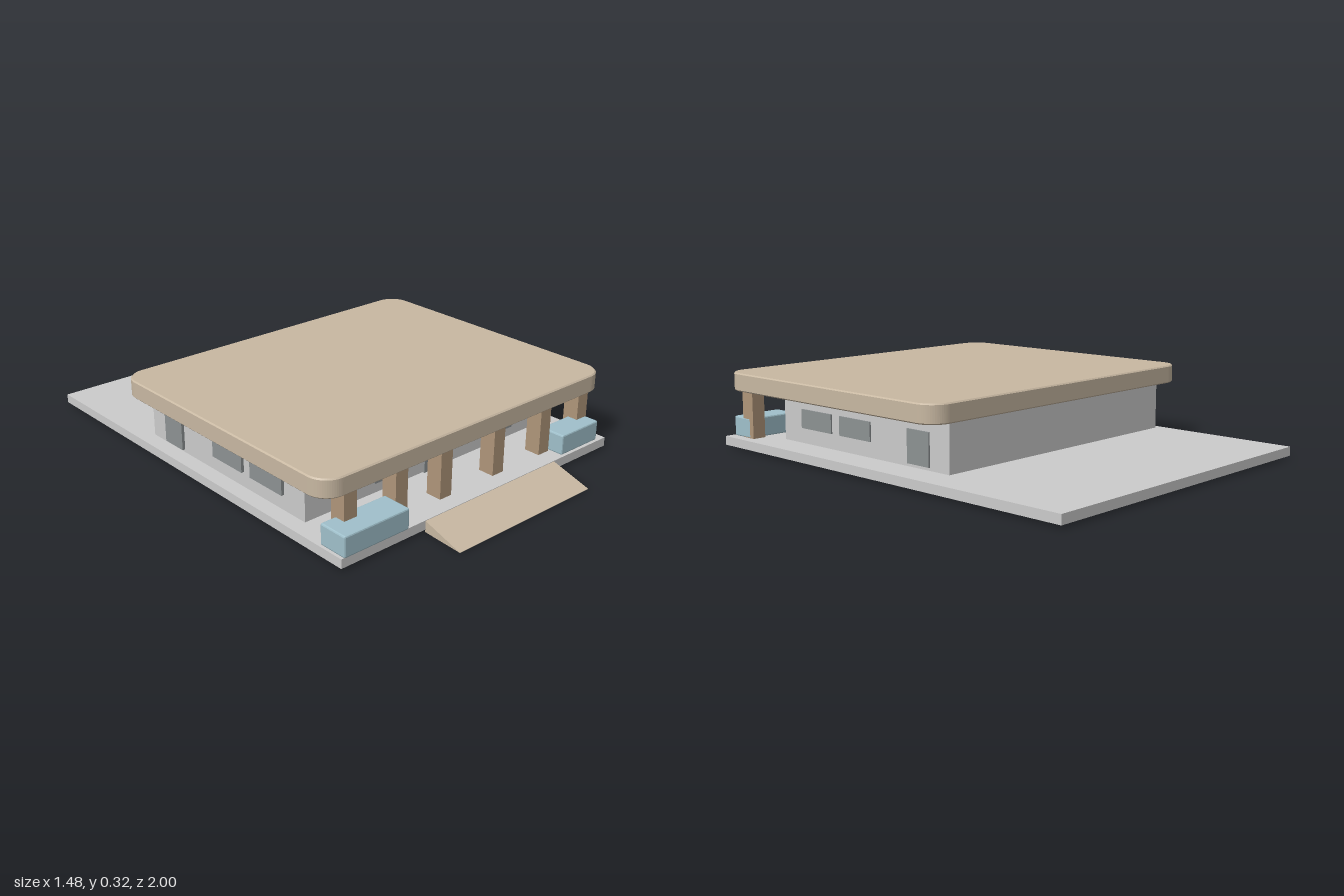
import * as THREE from 'three';
import { RoundedBoxGeometry } from 'three/addons/geometries/RoundedBoxGeometry.js';

const mat = (color) => new THREE.MeshStandardMaterial({ color, flatShading: true });

export function createModel() {
  const model = new THREE.Group();
  const grey = mat(0xcccccc);
  const glass = mat(0x8d9293);
  const wood = mat(0xb0967a);
  const tan = mat(0xc8b8a2);
  const blue = mat(0xa0c0cb);

  const add = (name, geometry, material) => {
    const mesh = new THREE.Mesh(geometry, material);
    mesh.name = name;
    model.add(mesh);
    return mesh;
  };
  // Box given by its lower and upper limits on each axis
  const box = (name, material, [x0, x1], [y0, y1], [z0, z1], radius = 0) => {
    const size = [x1 - x0, y1 - y0, z1 - z0];
    const geometry = radius
      ? new RoundedBoxGeometry(...size, 1, radius)
      : new THREE.BoxGeometry(...size);
    add(name, geometry, material)
      .position.set((x0 + x1) / 2, (y0 + y1) / 2, (z0 + z1) / 2);
  };

  // Ground slab and main building
  box('groundSlab', grey, [-0.70, 0.72], [0.01, 0.047], [-1, 0.82]);
  box('building', grey, [-0.64, 0.605], [0.053, 0.255], [-0.39, 0.56]);

  // Front door and windows
  box('frontDoor', glass, [-0.055, 0.09], [0.05, 0.19], [0.54, 0.565]);
  box('frontWindowRight', glass, [-0.335, -0.19], [0.11, 0.19], [0.54, 0.59]);
  box('frontWindowLeft', glass, [0.265, 0.41], [0.11, 0.19], [0.54, 0.59]);

  // Windows and door on both side walls
  for (const [side, x] of [['Left', [0.58, 0.611]], ['Right', [-0.652, -0.61]]]) {
    box('sideWindowFront' + side, glass, x, [0.115, 0.192], [0.26, 0.445]);
    box('sideWindowMiddle' + side, glass, x, [0.115, 0.192], [0.03, 0.21]);
    box('sideDoor' + side, glass, x, [0.065, 0.195], [-0.29, -0.175]);
  }

  // Porch columns
  for (const x of [-0.595, -0.355, -0.13, 0.154, 0.422, 0.65]) {
    box('column', wood, [x - 0.029, x + 0.029], [0.047, 0.255], [0.68, 0.748]);
  }

  // Planters at the porch corners
  box('planterRight', blue, [-0.69, -0.39], [0.046, 0.13], [0.7, 0.825], 0.006);
  box('planterLeft', blue, [0.46, 0.68], [0.046, 0.13], [0.7, 0.808], 0.006);

  // Flat roof with rounded corners and a slim bevel
  const bevel = 0.005;
  const [x0, x1, z0, z1, r] = [-0.735, 0.73, -0.435, 0.773, 0.08];
  const outline = new THREE.Shape();
  outline.absarc(x1 - r, -z0 - r, r, 0, Math.PI / 2);
  outline.absarc(x0 + r, -z0 - r, r, Math.PI / 2, Math.PI);
  outline.absarc(x0 + r, -z1 + r, r, Math.PI, Math.PI * 1.5);
  outline.absarc(x1 - r, -z1 + r, r, Math.PI * 1.5, Math.PI * 2);
  const roof = new THREE.ExtrudeGeometry(outline, {
    depth: 0.065, curveSegments: 8, bevelSize: bevel, bevelThickness: bevel, bevelSegments: 1,
  });
  roof.rotateX(-Math.PI / 2).translate(0, 0.255, 0);
  add('roof', roof, tan);

  // Wedge ramp up to the slab, turned very slightly
  const wedge = new THREE.Shape([[0, 0], [0.178, 0], [0, 0.045]].map((p) => new THREE.Vector2(...p)));
  const ramp = new THREE.ExtrudeGeometry(wedge, { depth: 0.705, bevelEnabled: false });
  ramp.rotateY(-Math.PI / 2).translate(0.3525, 0, 0);
  const rampMesh = add('ramp', ramp, tan);
  rampMesh.position.set(0.047, 0, 0.82);
  // Shear the front edge a little sideways
  const p = ramp.attributes.position;
  for (let i = 0; i < p.count; i++) p.setX(i, p.getX(i) - p.getZ(i) * 0.06);
  ramp.computeVertexNormals();

  return model;
}
